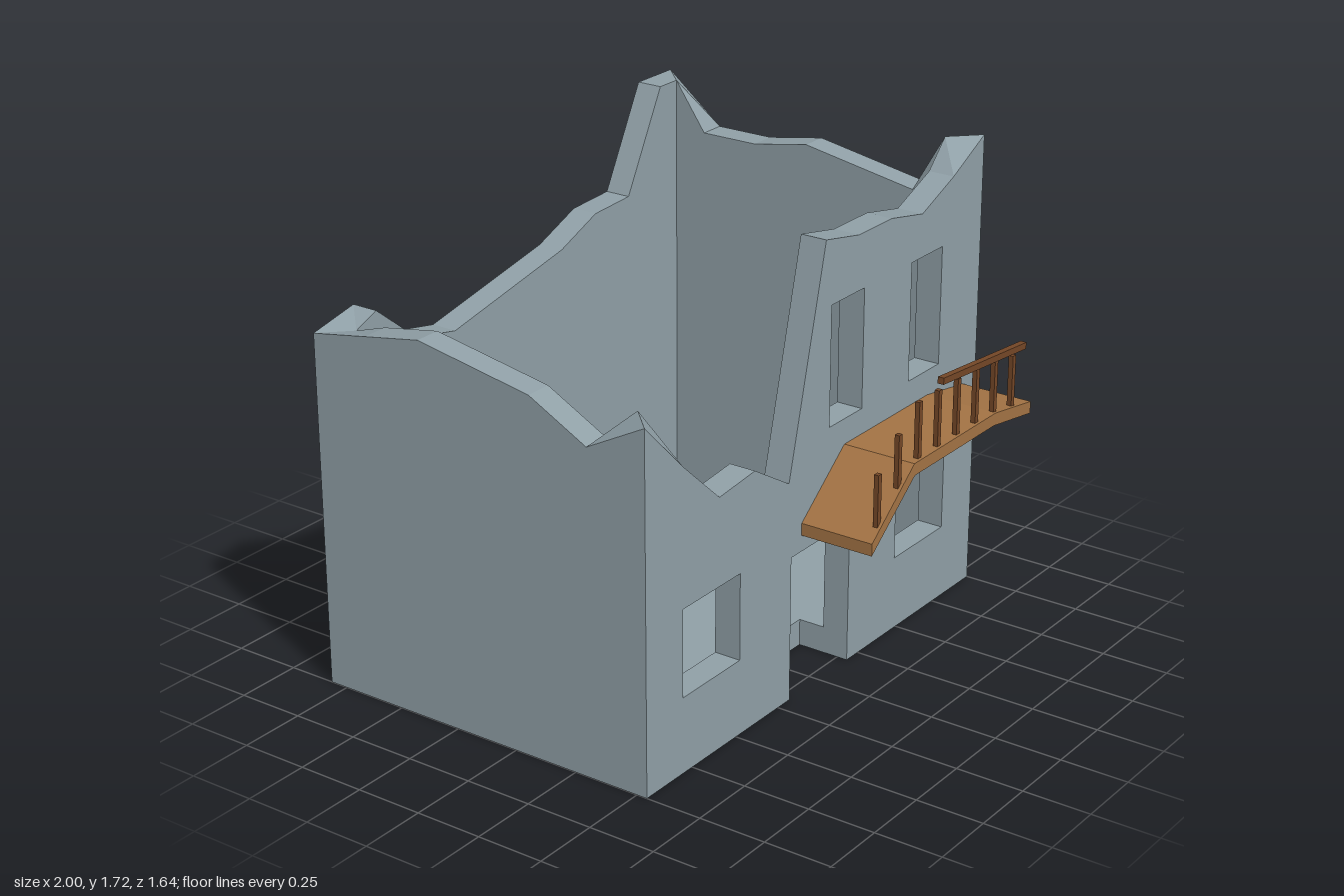
import * as THREE from 'three';

const stone = new THREE.MeshStandardMaterial({ color: 0x90a0a7 });
stone.name = 'blue grey stone';
const plank = new THREE.MeshStandardMaterial({ color: 0xa37344 });
plank.name = 'light wood';
const timber = new THREE.MeshStandardMaterial({ color: 0x744727 });
timber.name = 'dark wood';

const THICK = 0.1;
const v2 = (x, y) => new THREE.Vector2(x, y);

function add(parent, name, geometry, material) {
  const mesh = new THREE.Mesh(geometry, material);
  mesh.name = name;
  parent.add(mesh);
  return mesh;
}

// Wall facing +z with a broken top edge, mitred ends, windows and an optional door.
// heights run from left to right at even steps along the wall.
function wallGeometry(half, heights, windows = [], door = null) {
  const n = heights.length - 1;
  const contour = [v2(-half, 0)];
  if (door) {
    const [w, h] = door;
    contour.push(v2(-w, 0), v2(-w, h), v2(w, h), v2(w, 0));
  }
  contour.push(v2(half, 0));
  for (let i = n; i >= 0; i--) contour.push(v2(-half + (2 * half * i) / n, heights[i]));
  const holes = windows.map(([x0, x1, y0, y1]) => [v2(x0, y0), v2(x0, y1), v2(x1, y1), v2(x1, y0)]);

  const pos = [];
  const limit = half - THICK;
  const outer = (p) => [p.x, p.y, 0];
  const inner = (p) => [THREE.MathUtils.clamp(p.x, -limit, limit), p.y, -THICK];
  const tri = (a, b, c) => pos.push(...a, ...b, ...c);

  // outer and inner faces
  const all = [contour, ...holes].flat();
  for (const [a, b, c] of THREE.ShapeUtils.triangulateShape(contour, holes)) {
    tri(outer(all[a]), outer(all[b]), outer(all[c]));
    tri(inner(all[a]), inner(all[c]), inner(all[b]));
  }
  // broken top, underside and reveals of the openings
  const isEnd = (p) => Math.abs(p.x) > half - 1e-6;
  for (const loop of [contour, ...holes]) {
    loop.forEach((a, i) => {
      const b = loop[(i + 1) % loop.length];
      if (isEnd(a) && isEnd(b) && a.x * b.x > 0) return; // hidden mitre joint
      if (isEnd(a)) {
        tri(outer(a), inner(a), outer(b));
        tri(inner(a), inner(b), outer(b));
      } else {
        tri(outer(a), inner(a), inner(b));
        tri(outer(a), inner(b), outer(b));
      }
    });
  }
  const g = new THREE.BufferGeometry();
  g.setAttribute('position', new THREE.Float32BufferAttribute(pos, 3));
  g.computeVertexNormals();
  return g;
}

function extrude(points, depth) {
  return new THREE.ExtrudeGeometry(new THREE.Shape(points.map(([x, y]) => v2(x, y))), {
    depth, bevelEnabled: false,
  });
}

function buildRuin() {
  const ruin = new THREE.Group();
  ruin.name = 'ruinedHouse';

  const windows = [
    [-0.8, -0.48, 0.28, 0.6], [0.48, 0.8, 0.28, 0.6],
    [0.04, 0.24, 0.94, 1.38], [0.54, 0.74, 0.94, 1.38],
  ];
  const front = [1.3, 1.1, 0.92, 0.94, 0.82, 1.62, 1.58, 1.58, 1.54, 1.62, 1.72];
  const back = [1.72, 1.72, 1.35, 1.34, 1.26, 1.22, 1.18, 1.14, 1.18, 1.34, 1.3];
  const left = [1.72, 1.5, 1.54, 1.58, 1.54, 1.54, 1.72];
  const right = [1.3, 1.34, 1.38, 1.34, 1.3, 1.18, 1.3];

  const walls = [
    ['frontWall', wallGeometry(1, front, windows, [0.18, 0.54]), 0, 0.54, 0],
    ['backWall', wallGeometry(1, back), 0, -0.82, Math.PI],
    ['leftWall', wallGeometry(0.68, left), 1, -0.14, Math.PI / 2],
    ['rightWall', wallGeometry(0.68, right), -1, -0.14, -Math.PI / 2],
  ];
  for (const [name, geometry, x, z, turn] of walls) {
    const wall = add(ruin, name, geometry, stone);
    wall.position.set(x, 0, z);
    wall.rotation.y = turn;
  }

  // floor slab, notched behind the doorway (shape y becomes -z)
  const floor = extrude([
    [-0.9, -0.44], [-0.18, -0.44], [-0.18, -0.34], [0.18, -0.34],
    [0.18, -0.44], [0.9, -0.44], [0.9, 0.72], [-0.9, 0.72],
  ], 0.1);
  floor.rotateX(-Math.PI / 2);
  add(ruin, 'floorSlab', floor, stone);
  return ruin;
}

function buildBalcony() {
  const balcony = new THREE.Group();
  balcony.name = 'balcony';

  // sagging deck
  const deck = extrude([
    [-0.12, 0.6], [0.14, 0.8], [0.66, 0.8], [0.915, 0.76],
    [0.915, 0.805], [0.67, 0.845], [0.135, 0.845], [-0.12, 0.645],
  ], 0.28);
  deck.translate(0, 0, 0.54);
  add(balcony, 'deck', deck, plank);

  // railing posts: x, bottom, top
  const posts = [
    [-0.062, 0.68, 0.873], [0.061, 0.78, 0.973], [0.185, 0.84, 1.05], [0.309, 0.84, 1.05],
    [0.433, 0.84, 1.05], [0.557, 0.84, 1.05], [0.681, 0.84, 1.04], [0.805, 0.815, 1.013],
  ];
  for (const [x, y0, y1] of posts) {
    const post = add(balcony, 'railPost', new THREE.BoxGeometry(0.02, y1 - y0, 0.018), timber);
    post.position.set(x, (y0 + y1) / 2, 0.8);
  }

  // fallen handrail
  const rail = add(balcony, 'handrail', new THREE.BoxGeometry(0.56, 0.024, 0.024), timber);
  rail.position.set(0.6, 1.053, 0.8);
  rail.rotation.z = -0.09;
  return balcony;
}

export function createModel() {
  const model = new THREE.Group();
  model.name = 'ruinWithBalcony';
  model.add(buildRuin(), buildBalcony());
  return model;
}
